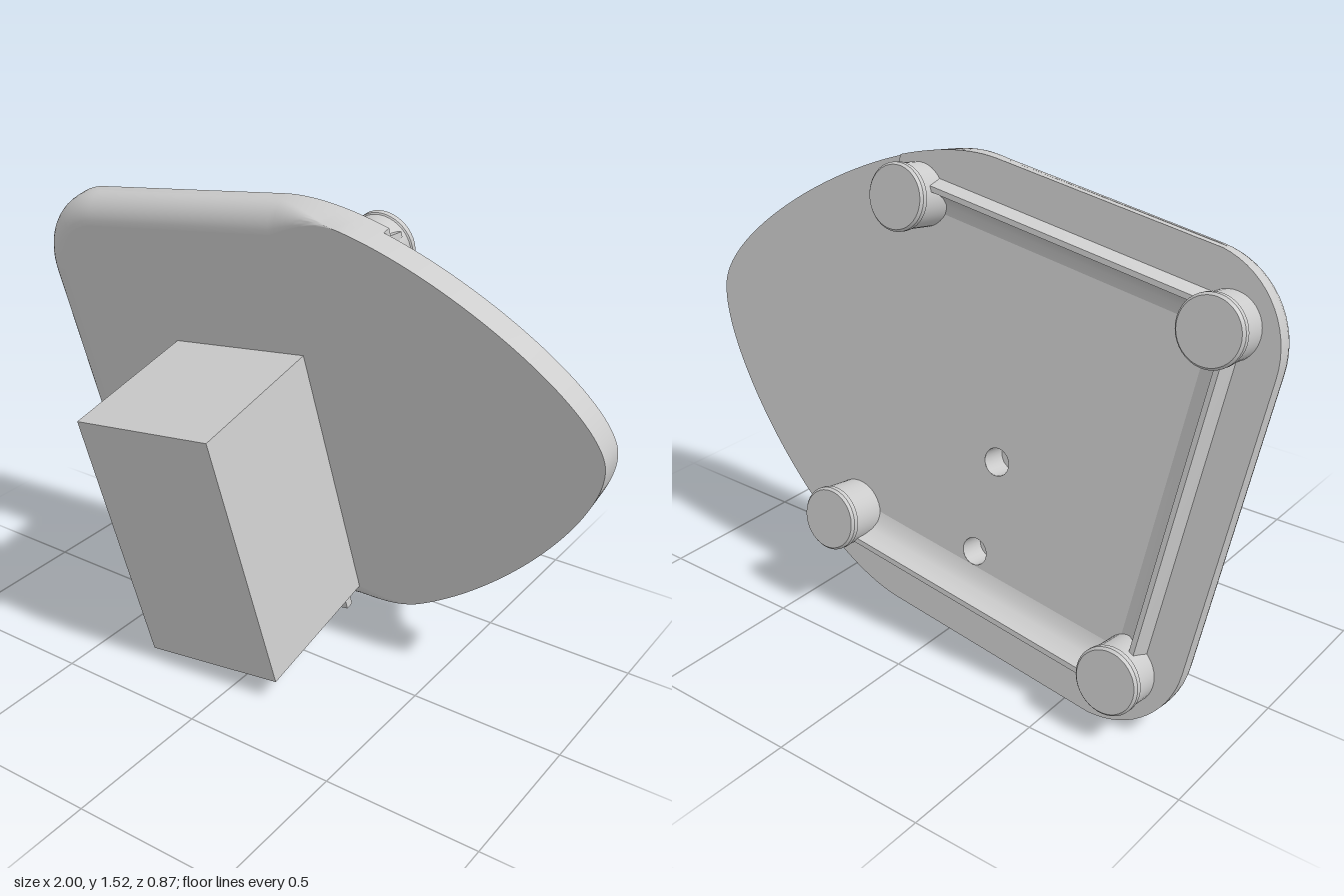
import * as THREE from 'three';
import { mergeGeometries, toCreasedNormals } from 'three/addons/utils/BufferGeometryUtils.js';

const MID = 0.747, HALF = 0.719, LEFT = -0.831, R = 0.27; // plate outline
const FRONT = -0.24, FLOOR = -0.327, LEDGE = -0.357, RIM = -0.413, FOOT_END = -0.463; // depths
const V = (x, y) => new THREE.Vector2(x, y);
const flip = pts => pts.map(p => V(p.x, -p.y)).reverse();

// upper half of the pointed end, from the tip to the straight top edge
const point = new THREE.CubicBezierCurve(V(1.122, 0), V(1.122, 0.22), V(0.53, HALF), V(0.15, HALF)).getPoints(48);

// rounded square end, from the top edge round to the bottom edge
const corner = [];
for (let i = 0; i <= 16; i++) {
  const a = Math.PI / 2 * (1 + i / 16);
  corner.push(V(LEFT + R + R * Math.cos(a), HALF - R + R * Math.sin(a)));
}
const squareEnd = [...corner, ...flip(corner)];

// point i moved inwards by d along the outline's normal
function inset(pts, i, d, closed) {
  const n = pts.length;
  const a = closed ? pts[(i + n - 1) % n] : pts[Math.max(i - 1, 0)];
  const b = closed ? pts[(i + 1) % n] : pts[Math.min(i + 1, n - 1)];
  const t = b.clone().sub(a).normalize();
  return V(pts[i].x - t.y * d, pts[i].y + t.x * d);
}

// surface through rows of equal length
function loft(rows, closed) {
  const n = rows[0].length, pos = [], idx = [];
  rows.forEach(r => r.forEach(p => pos.push(...p)));
  for (let k = 0; k < rows.length - 1; k++) {
    for (let i = 0; i < (closed ? n : n - 1); i++) {
      const j = (i + 1) % n, a = k * n + i, b = k * n + j;
      idx.push(a, b, b + n, a, b + n, a + n);
    }
  }
  const g = new THREE.BufferGeometry();
  g.setAttribute('position', new THREE.Float32BufferAttribute(pos, 3));
  g.setIndex(idx);
  return g;
}

const holes = [0.295, 0.6].map(y => V(-0.068, y - MID));
const HOLE_R = 0.043;

function plateGeometry() {
  const outline = [...point, ...squareEnd, ...flip(point).slice(0, -1)];

  // straight edge, then a front rounding that fades out towards the tip
  const rows = [outline.map(p => [p.x, p.y, FLOOR])];
  for (let k = 0; k <= 8; k++) {
    const t = (k / 8) * Math.PI / 2;
    rows.push(outline.map((p, i) => {
      const f = 0.085 * (1 - THREE.MathUtils.smoothstep(p.x, 0.1, 0.4));
      const q = inset(outline, i, f * (1 - Math.cos(t)), true);
      return [q.x, q.y, FRONT - f + f * Math.sin(t)];
    }));
  }
  const edge = toCreasedNormals(loft(rows, true), 0.7);

  const front = new THREE.ShapeGeometry(new THREE.Shape(rows.at(-1).map(p => V(p[0], p[1]))));
  front.translate(0, 0, FRONT);

  // back face with screw holes
  const shape = new THREE.Shape(outline.map(p => V(-p.x, p.y)));
  for (const h of holes) shape.holes.push(new THREE.Path().absarc(-h.x, h.y, HOLE_R, 0, Math.PI * 2, true));
  const back = new THREE.ShapeGeometry(shape, 24);
  back.rotateY(Math.PI).translate(0, 0, FLOOR);

  return mergeGeometries([edge, ...[front, back].map(g => g.toNonIndexed().deleteAttribute('uv'))]);
}

// border of the square end: flat ledge, steep ridge, wide inner fillet
function rimGeometry() {
  const heads = point.filter(p => p.x < 0.49);
  const straight = heads.map(p => V(p.x, HALF));
  const outer = [...heads, ...squareEnd.slice(1, -1), ...flip(heads)];
  const path = [...straight, ...squareEnd.slice(1, -1), ...flip(straight)];
  const section = [[0, FLOOR], [0, LEDGE], [0.118, LEDGE], [0.132, RIM], [0.148, RIM],
    [0.154, -0.386], [0.17, -0.357], [0.192, -0.337], [0.222, FLOOR]];
  const g = loft(path.map((p, i) => section.map(([d, z]) => {
    const q = d === 0 ? outer[i] : inset(path, i, d, false);
    return [q.x, q.y, z];
  })), false);

  // end faces, fanned from the foot of the ridge
  const idx = [...g.index.array], n = section.length, last = (path.length - 1) * n;
  for (const base of [0, last]) {
    for (let i = 3; i < n - 1; i++) idx.push(base + 2, base + i, base + i + 1);
    idx.push(base, base + 1, base + 2, base, base + 2, base + n - 1);
  }
  g.setIndex(idx);
  return toCreasedNormals(g, 0.6);
}

export function createModel() {
  const grey = new THREE.MeshStandardMaterial({ color: 0xcccccc });
  const thin = new THREE.MeshStandardMaterial({ color: 0xcccccc, side: THREE.DoubleSide });
  const model = new THREE.Group();
  model.name = 'plateWithSleeve';
  const add = (name, geometry, material, x, y, z) => {
    const mesh = new THREE.Mesh(geometry, material);
    mesh.name = name;
    mesh.position.set(x, y, z);
    model.add(mesh);
  };

  // main plate, rim and holes
  add('plate', plateGeometry(), grey, 0, MID, 0);
  add('rim', rimGeometry(), thin, 0, MID, 0);
  for (const h of holes) {
    const bore = new THREE.CylinderGeometry(HOLE_R, HOLE_R, FRONT - FLOOR, 24, 1, true).rotateX(Math.PI / 2);
    add('screwHole', bore, thin, h.x, MID + h.y, (FRONT + FLOOR) / 2);
  }

  // four round feet with a lipped cap
  const depth = FLOOR - FOOT_END + 0.02;
  const profile = [[0, 0], [0.097, 0], [0.097, depth - 0.028], [0.101, depth - 0.024], [0.101, depth - 0.008], [0.094, depth], [0, depth]];
  const foot = toCreasedNormals(new THREE.LatheGeometry(profile.map(p => V(...p)), 40).rotateX(-Math.PI / 2), 0.5);
  for (const x of [-0.662, 0.398]) {
    for (const side of [-1, 1]) add('foot', foot, thin, x, MID + side * 0.53, FLOOR + 0.02);
  }

  // square sleeve, open at the bottom, with a thinner wall against the plate
  const W = 0.5, D = 0.505, H = 0.885, T = 0.055, THIN = 0.03, bottom = 0.101, cx = -0.081, cz = FRONT + D / 2;
  const rect = (path, x, y0, y1) => path.moveTo(-x, y0).lineTo(x, y0).lineTo(x, y1).lineTo(-x, y1).closePath();
  const ring = rect(new THREE.Shape(), W / 2, -D / 2, D / 2);
  ring.holes.push(rect(new THREE.Path(), W / 2 - T, T - D / 2, D / 2 - THIN));
  const walls = new THREE.ExtrudeGeometry(ring, { depth: H - T, bevelEnabled: false }).rotateX(-Math.PI / 2);
  add('sleeveWalls', walls, grey, cx, bottom, cz);
  add('sleeveTop', new THREE.BoxGeometry(W, T, D), grey, cx, bottom + H - T / 2, cz);
  add('sleeveLip', new THREE.BoxGeometry(W - 0.1, 0.1, THIN), grey, cx, 0.065, FRONT + THIN / 2);

  // lean, then roll, of the whole piece
  model.rotation.set(0.18, 0, 0.143, 'ZXY');
  const root = new THREE.Group();
  root.name = 'model';
  root.add(model);
  return root;
}
